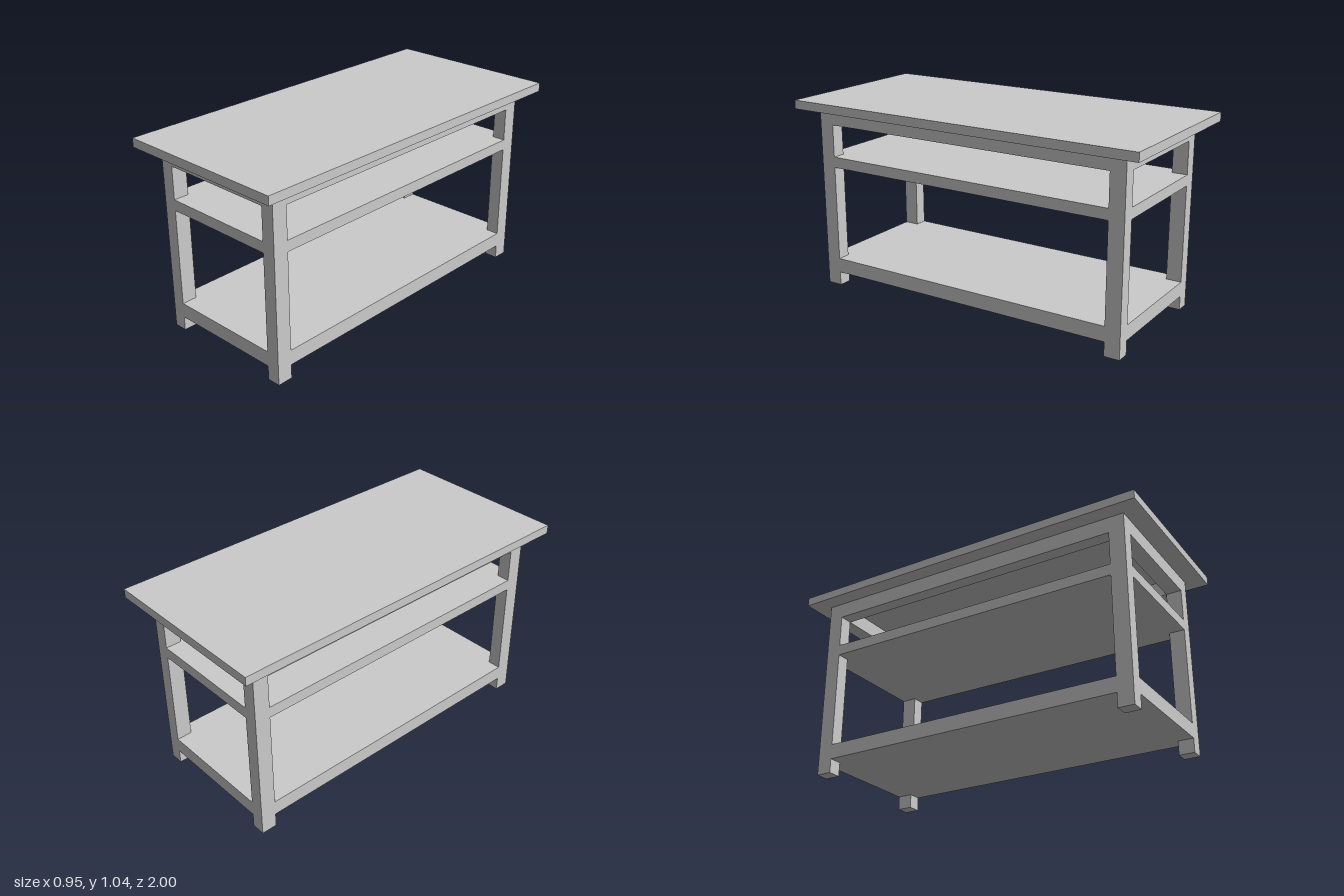
import * as THREE from 'three';

const mat = new THREE.MeshStandardMaterial({ color: 0xcccccc, flatShading: true });
const X = 0.387, Z = 0.903;      // outer faces of the frame
const LX = 0.072, LZ = 0.083;    // leg section
const TOP_Y = 0.993;             // underside of the top

function box(parent, name, w, y0, y1, d, x = 0, z = 0) {
  const mesh = new THREE.Mesh(new THREE.BoxGeometry(w, y1 - y0, d), mat);
  mesh.name = name;
  mesh.position.set(x, (y0 + y1) / 2, z);
  parent.add(mesh);
}

// Slab flush with the frame, notched at the corners around the legs
function shelf(parent, name, y0, y1) {
  const a = X - LX, b = Z - LZ;
  const outline = [
    [X, -b], [X, b], [a, b], [a, Z], [-a, Z], [-a, b],
    [-X, b], [-X, -b], [-a, -b], [-a, -Z], [a, -Z], [a, -b],
  ].map(([x, z]) => new THREE.Vector2(x, z));
  const geo = new THREE.ExtrudeGeometry(new THREE.Shape(outline), { depth: y1 - y0, bevelEnabled: false });
  geo.rotateX(-Math.PI / 2);
  const mesh = new THREE.Mesh(geo, mat);
  mesh.name = name;
  mesh.position.y = y0;
  parent.add(mesh);
}

export function createModel() {
  const table = new THREE.Group();
  table.name = 'table';

  box(table, 'tableTop', 0.946, TOP_Y, 1.04, 2);

  // Four square legs
  for (const sx of [-1, 1]) for (const sz of [-1, 1]) {
    const name = (sz > 0 ? 'front' : 'back') + (sx > 0 ? 'Left' : 'Right') + 'Leg';
    box(table, name, LX, 0, TOP_Y, LZ, sx * (X - LX / 2), sz * (Z - LZ / 2));
  }

  // Open apron frame between the legs
  for (const s of [-1, 1]) {
    box(table, s > 0 ? 'leftApron' : 'rightApron', LX, 0.91, TOP_Y, 2 * (Z - LZ), s * (X - LX / 2), 0);
    box(table, s > 0 ? 'frontApron' : 'backApron', 2 * (X - LX), 0.91, TOP_Y, LZ, 0, s * (Z - LZ / 2));
  }

  shelf(table, 'upperShelf', 0.677, 0.735);
  shelf(table, 'lowerShelf', 0.075, 0.155);
  return table;
}
